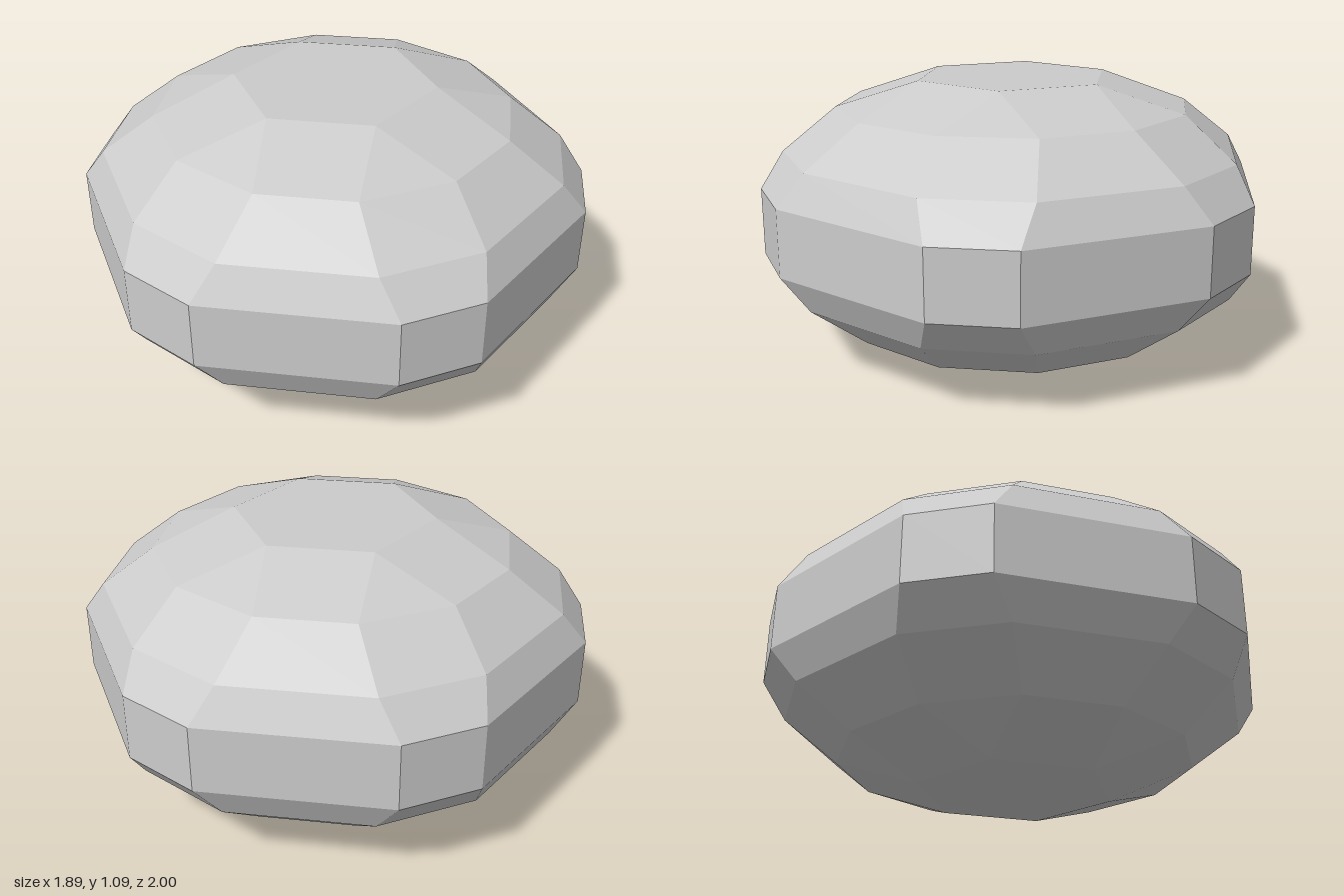
import * as THREE from 'three';

// Upper half of the gem: [radius, half-angle of each main facet in degrees, height above mid-plane]
const TIERS = [
  [1.013, 20.9, 0.133],
  [0.922, 17.5, 0.268],
  [0.71, 15, 0.433],
  [0.4, 30, 0.545], // corners meet in pairs, giving a hexagon
];
const MID = 0.545;

// Twelve points: a pair either side of each of six facet directions
function ring([radius, spread, height], side) {
  const points = [];
  for (let i = 0; i < 6; i++) {
    for (const s of [-1, 1]) {
      const a = THREE.MathUtils.degToRad(i * 60 + s * spread);
      points.push(new THREE.Vector3(radius * Math.cos(a), MID + side * height, radius * Math.sin(a)));
    }
  }
  return points;
}

function facetedGeometry(rings) {
  const positions = [];
  const triangle = (a, b, c) => {
    // skip the collapsed triangles at the hexagon corners
    const area = b.clone().sub(a).cross(c.clone().sub(a)).length();
    if (area > 1e-6) for (const p of [a, b, c]) positions.push(p.x, p.y, p.z);
  };
  const bottom = rings[0];
  const top = rings[rings.length - 1];
  const bottomCentre = new THREE.Vector3(0, bottom[0].y, 0);
  const topCentre = new THREE.Vector3(0, top[0].y, 0);

  for (let j = 0; j < 12; j++) {
    const k = (j + 1) % 12;
    // side facets
    for (let i = 0; i < rings.length - 1; i++) {
      const lower = rings[i];
      const upper = rings[i + 1];
      triangle(lower[j], upper[j], upper[k]);
      triangle(lower[j], upper[k], lower[k]);
    }
    // flat hexagonal ends
    triangle(bottomCentre, bottom[j], bottom[k]);
    triangle(topCentre, top[k], top[j]);
  }
  const geometry = new THREE.BufferGeometry();
  geometry.setAttribute('position', new THREE.Float32BufferAttribute(positions, 3));
  geometry.computeVertexNormals();
  return geometry;
}

export function createModel() {
  const group = new THREE.Group();
  group.name = 'facetedStone';

  // mirrored lower half, then the upper half
  const rings = [
    ...[...TIERS].reverse().map((tier) => ring(tier, -1)),
    ...TIERS.map((tier) => ring(tier, 1)),
  ];
  const material = new THREE.MeshStandardMaterial({ color: 0xcccccc, flatShading: true });
  const stone = new THREE.Mesh(facetedGeometry(rings), material);
  stone.name = 'stone';
  group.add(stone);
  return group;
}
